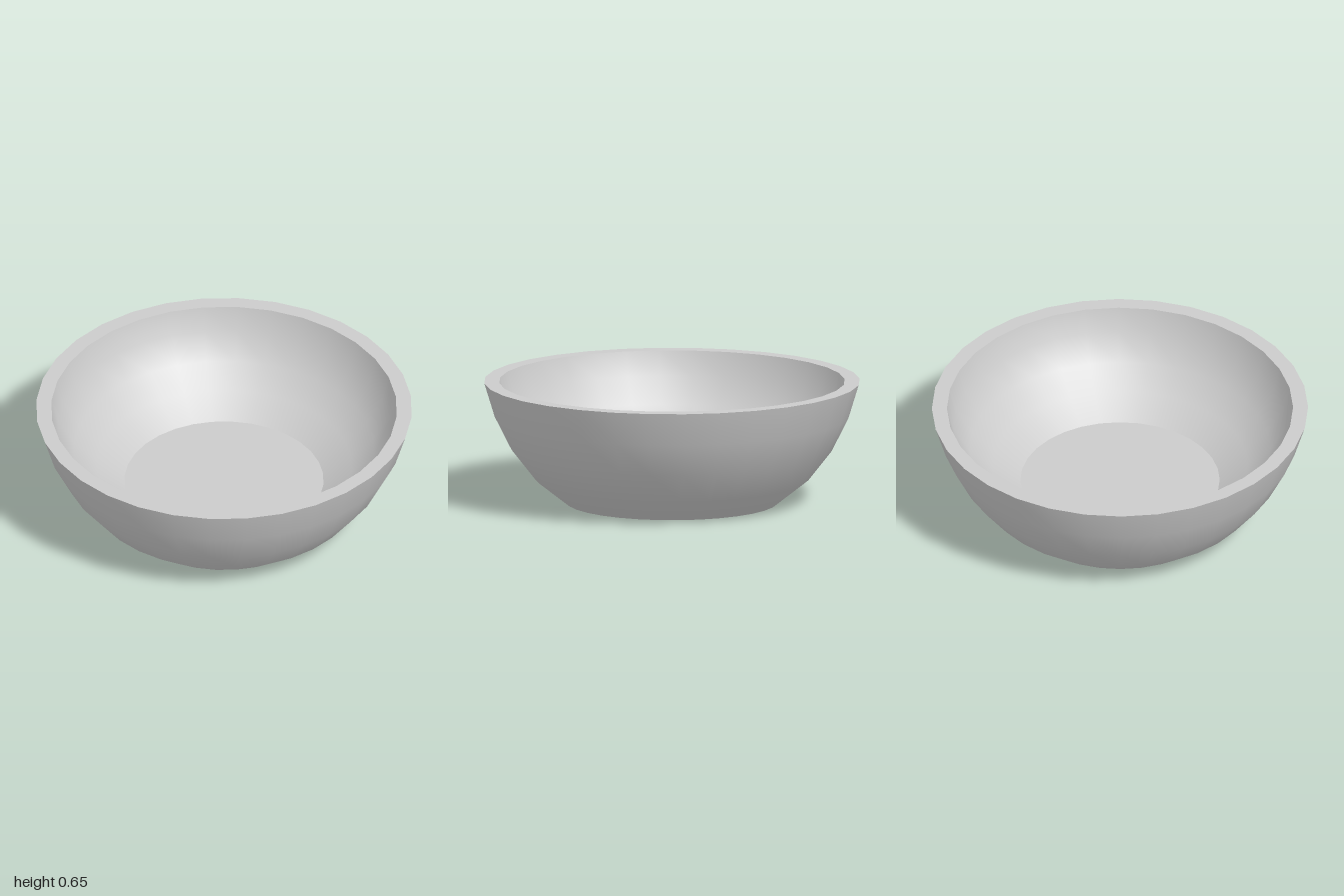
import * as THREE from 'three';

const SEGMENTS = 32;

export function createModel() {
  const bowl = new THREE.Group();
  bowl.name = 'bowl';
  const material = new THREE.MeshStandardMaterial({ color: 0xcccccc });

  // Profiles run counter-clockwise around the section, so faces point outwards.
  const outer = [[0.565, 0], [0.73, 0.13], [0.855, 0.29], [0.945, 0.47], [1, 0.65]];
  const inner = [[0.92, 0.65], [0.885, 0.52], [0.80, 0.38], [0.68, 0.275], [0.53, 0.18]];

  // Each band is its own lathe: smooth within, sharp where bands meet.
  function addBand(name, profile) {
    const points = profile.map(([r, y]) => new THREE.Vector2(r, y));
    const mesh = new THREE.Mesh(new THREE.LatheGeometry(points, SEGMENTS), material);
    mesh.name = name;
    bowl.add(mesh);
  }

  addBand('base', [[0, 0], outer[0]]);
  addBand('outerWall', outer);
  addBand('rim', [outer[4], inner[0]]);
  addBand('innerWall', inner);
  addBand('innerFloor', [inner[4], [0, 0.18]]);

  return bowl;
}
